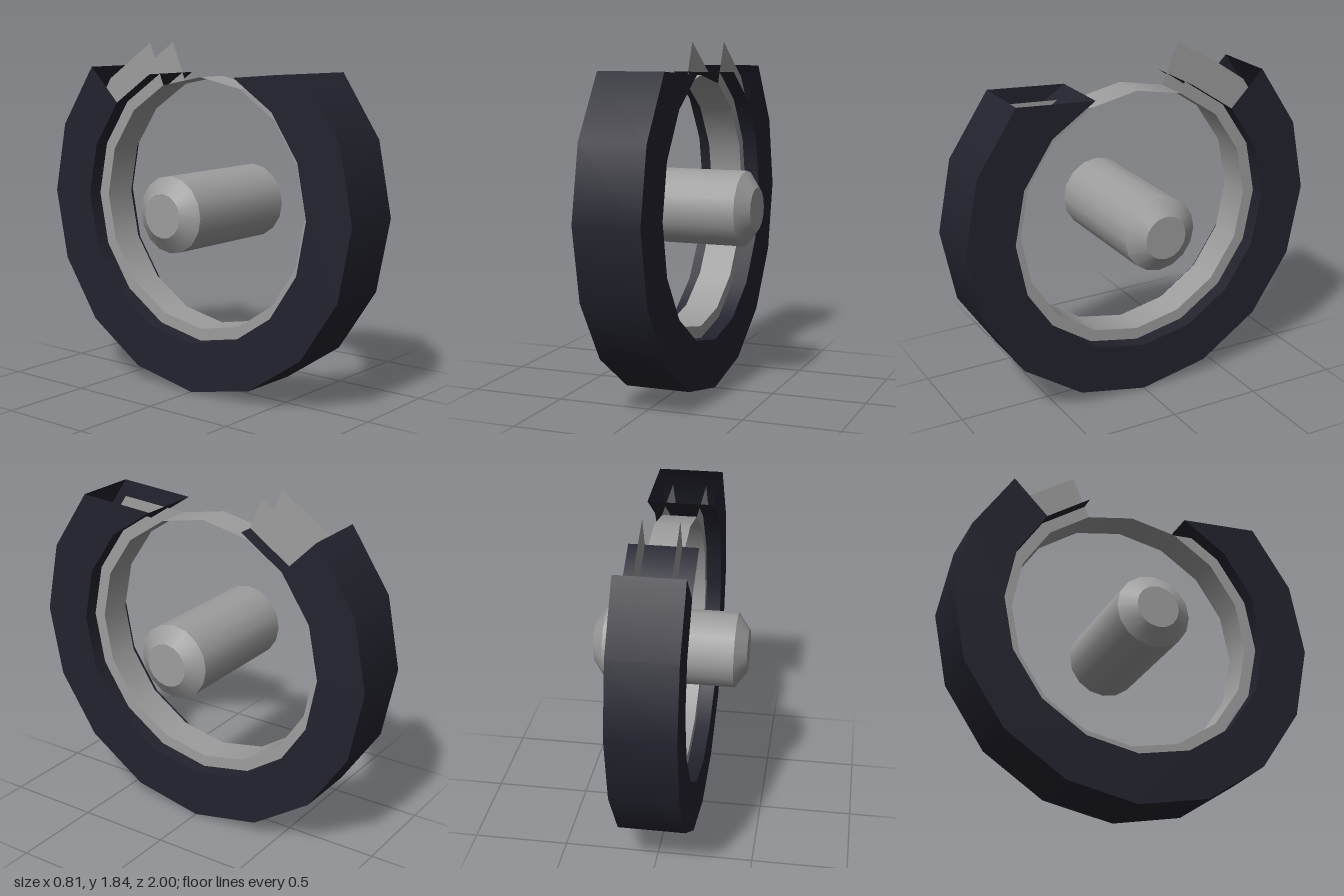
import * as THREE from 'three';

const STEP = Math.PI / 8; // sixteen-sided wheel; angles count steps from +z towards +y
const CENTRE_Y = 1;

export function createModel() {
  const rubber = new THREE.MeshStandardMaterial({ color: 0x23232f, side: THREE.DoubleSide });
  rubber.name = 'dark rubber';
  const metal = new THREE.MeshStandardMaterial({ color: 0x9e9e9e, side: THREE.DoubleSide });
  metal.name = 'grey metal';

  const model = new THREE.Group();
  model.name = 'brokenWheel';

  const add = (parent, name, geometry, material, x = 0) => {
    const mesh = new THREE.Mesh(geometry, material);
    mesh.name = name;
    mesh.position.x = x;
    parent.add(mesh);
    return mesh;
  };
  const group = (name, y, z = 0) => {
    const g = new THREE.Group();
    g.name = name;
    g.position.set(0, y, z);
    model.add(g);
    return g;
  };

  // Open band around the x axis
  const band = (r, width, from, steps) =>
    new THREE.CylinderGeometry(r, r, width, steps, 1, true, from * STEP, steps * STEP)
      .rotateZ(Math.PI / 2);
  // Flat ring sector facing sideways
  const wall = (inner, outer, from, steps) =>
    new THREE.RingGeometry(inner, outer, steps, 1, from * STEP, steps * STEP)
      .rotateY(-Math.PI / 2);
  // Torn triangular end of a wall, at the front of the gap
  const tornEnd = (inner, outer) => {
    const at = (r, s) => new THREE.Vector2(r * Math.cos(s * STEP), r * Math.sin(s * STEP));
    return new THREE.ShapeGeometry(new THREE.Shape([at(outer, 2), at(inner, 3), at(inner, 2)]))
      .rotateY(-Math.PI / 2);
  };

  // Hollow tyre with a gap at the top
  const tyre = group('tyre', CENTRE_Y);
  add(tyre, 'tread', band(1, 0.348, 6, 12), rubber);
  add(tyre, 'tyreInnerBand', band(0.735, 0.348, 5, 14), rubber);

  // Channel rim, with walls reaching into the tyre
  const rim = group('rim', CENTRE_Y);
  add(rim, 'rimBand', band(0.67, 0.184, 0, 16), metal);

  // Hub with bevelled ends
  const hub = group('hub', 0.98, 0.01);
  add(hub, 'hubBarrel',
    new THREE.CylinderGeometry(0.2, 0.2, 0.69, 16, 1, true).rotateZ(Math.PI / 2), metal);

  for (const side of [1, -1]) {
    const label = side > 0 ? 'left' : 'right';
    add(tyre, label + 'TyreWall', wall(0.735, 1, 6, 12), rubber, side * 0.174);
    add(tyre, label + 'TyreTornEnd', tornEnd(0.735, 1), rubber, side * 0.174);
    add(rim, label + 'RimWall', wall(0.67, 0.91, 5, 13), metal, side * 0.092);
    add(rim, label + 'RimTornEnd', tornEnd(0.67, 0.91), metal, side * 0.092);

    add(hub, label + 'HubBevel',
      new THREE.CylinderGeometry(0.115, 0.2, 0.062, 16, 1, true).rotateZ(-side * Math.PI / 2),
      metal, side * 0.376);
    add(hub, label + 'HubCap',
      new THREE.CircleGeometry(0.115, 16).rotateY(side * Math.PI / 2), metal, side * 0.407);
  }

  return model;
}
